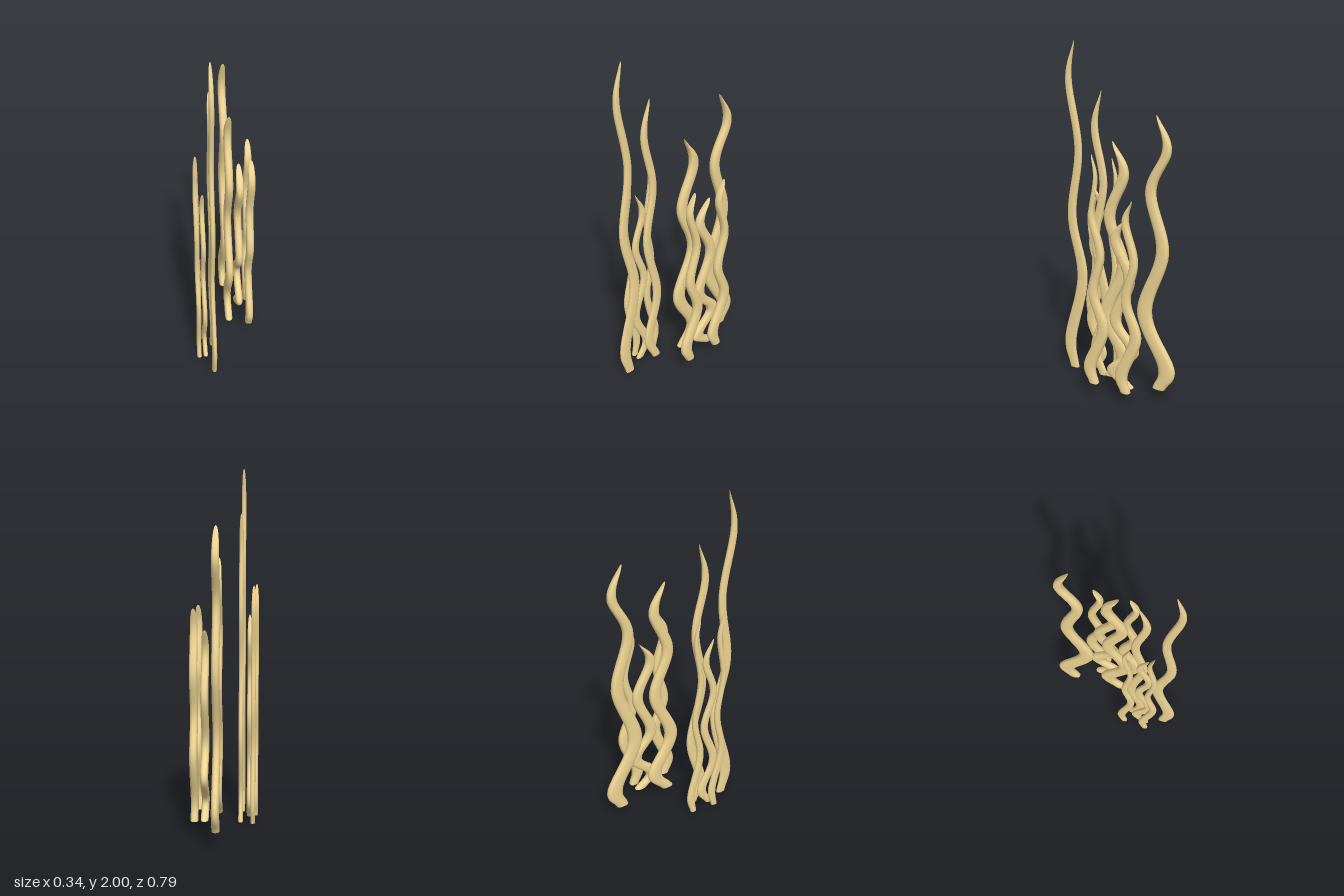
import * as THREE from 'three';

const SIDES = 20, ROWS = 72;
const SLANT = 0.24; // x drift per unit of z: every blade sways in this vertical plane

// Blade profile as a curve of (sway, height, width), all normalized, foot to tip
const makeProfile = (sways, heights, widths) => new THREE.CatmullRomCurve3(
  sways.map((s, i) => new THREE.Vector3(s, heights[i], widths[i])), false, 'catmullrom', 0.5);

const slimSway = [0.3, 0.8, -0.9, 0.32, -0.6, 0.45, -0.3];
const slimWidth = [0.76, 1, 0.88, 0.72, 0.6, 0.5, 0];
const curlSway = [-0.45, 0.8, -0.9, 0.7, -0.55, 0.72, -0.3];
const curlWidth = [0.85, 1, 0.9, 0.78, 0.72, 0.64, 0];
const profiles = {
  slim: makeProfile(slimSway, [0, 0.1, 0.31, 0.5, 0.7, 0.89, 1], slimWidth),
  high: makeProfile(slimSway, [0, 0.09, 0.29, 0.53, 0.74, 0.89, 1], slimWidth),
  curl: makeProfile(curlSway, [0, 0.1, 0.28, 0.5, 0.7, 0.88, 1], curlWidth),
  tight: makeProfile(curlSway, [0, 0.088, 0.23, 0.4, 0.65, 0.865, 1], curlWidth),
};

const rounded = (v) => Math.sign(v) * Math.abs(v) ** 0.8;

// One wavy blade: stacked rounded rings, narrowing to a chisel tip, flat foot
function bladeGeometry(profile, { x, z, base, top, sway, width, thick }) {
  const pos = [], index = [];
  const len = Math.hypot(1, SLANT), ez = 1 / len, ex = SLANT / len;
  for (let i = 0; i <= ROWS; i++) {
    const p = profile.getPoint(Math.sin((i / ROWS) * Math.PI / 2));
    const t = THREE.MathUtils.clamp(p.y, 0, 1);
    const a = Math.max(p.z, 0) * width / 2;
    const b = Math.sqrt(1 - t ** 22) * thick / 2;
    const dz = p.x * sway;
    for (let j = 0; j < SIDES; j++) {
      const th = (j / SIDES) * Math.PI * 2;
      const u = rounded(Math.cos(th)) * a, v = rounded(Math.sin(th)) * b;
      pos.push(x + SLANT * dz + ex * u + ez * v, base + t * (top - base), z + dz + ez * u - ex * v);
    }
  }
  for (let i = 0; i < ROWS; i++) {
    for (let j = 0; j < SIDES; j++) {
      const k = (j + 1) % SIDES, r = i * SIDES, s = r + SIDES;
      index.push(r + j, r + k, s + j, r + k, s + k, s + j);
    }
  }
  // Foot cap with its own corners so the edge stays sharp
  const cap = pos.length / 3;
  pos.push(...pos.slice(0, SIDES * 3));
  for (let j = 1; j < SIDES - 1; j++) index.push(cap, cap + j + 1, cap + j);

  const g = new THREE.BufferGeometry();
  g.setAttribute('position', new THREE.Float32BufferAttribute(pos, 3));
  g.setIndex(index);
  g.computeVertexNormals();
  return g;
}

// Blades as [profile, x, z, base, top, sway, width]
const clumps = {
  frontClump: { thick: 0.027, blades: [
    ['slim', -0.035, 0.315, 0, 2.0, 0.05, 0.075],
    ['curl', -0.067, 0.15, 0.005, 1.75, 0.04, 0.064],
    ['curl', -0.101, 0.21, 0.01, 1.19, -0.043, 0.06],
    ['slim', -0.128, 0.257, 0.01, 1.36, -0.032, 0.05],
    ['slim', -0.147, 0.119, 0.01, 1.36, -0.032, 0.05],
  ] },
  backClump: { thick: 0.043, blades: [
    ['high', -0.05, -0.28, 0.1, 1.69, -0.08, 0.1],
    ['curl', 0.01, -0.033, 0.1, 1.52, -0.064, 0.09],
    ['tight', 0.058, -0.129, 0.1, 1.14, 0.066, 0.088],
    ['slim', 0.097, -0.2, 0.1, 1.26, 0.048, 0.076],
    ['slim', 0.136, 0.002, 0.1, 1.26, 0.048, 0.076],
  ] },
};

export function createModel() {
  const model = new THREE.Group();
  model.name = 'seaweed';
  const material = new THREE.MeshStandardMaterial({ color: 0xf0d694 });
  for (const [name, { thick, blades }] of Object.entries(clumps)) {
    const clump = new THREE.Group();
    clump.name = name;
    blades.forEach(([kind, x, z, base, top, sway, width], i) => {
      const geometry = bladeGeometry(profiles[kind], { x, z, base, top, sway, width, thick });
      const mesh = new THREE.Mesh(geometry, material);
      mesh.name = `blade${i + 1}`;
      clump.add(mesh);
    });
    model.add(clump);
  }
  return model;
}
